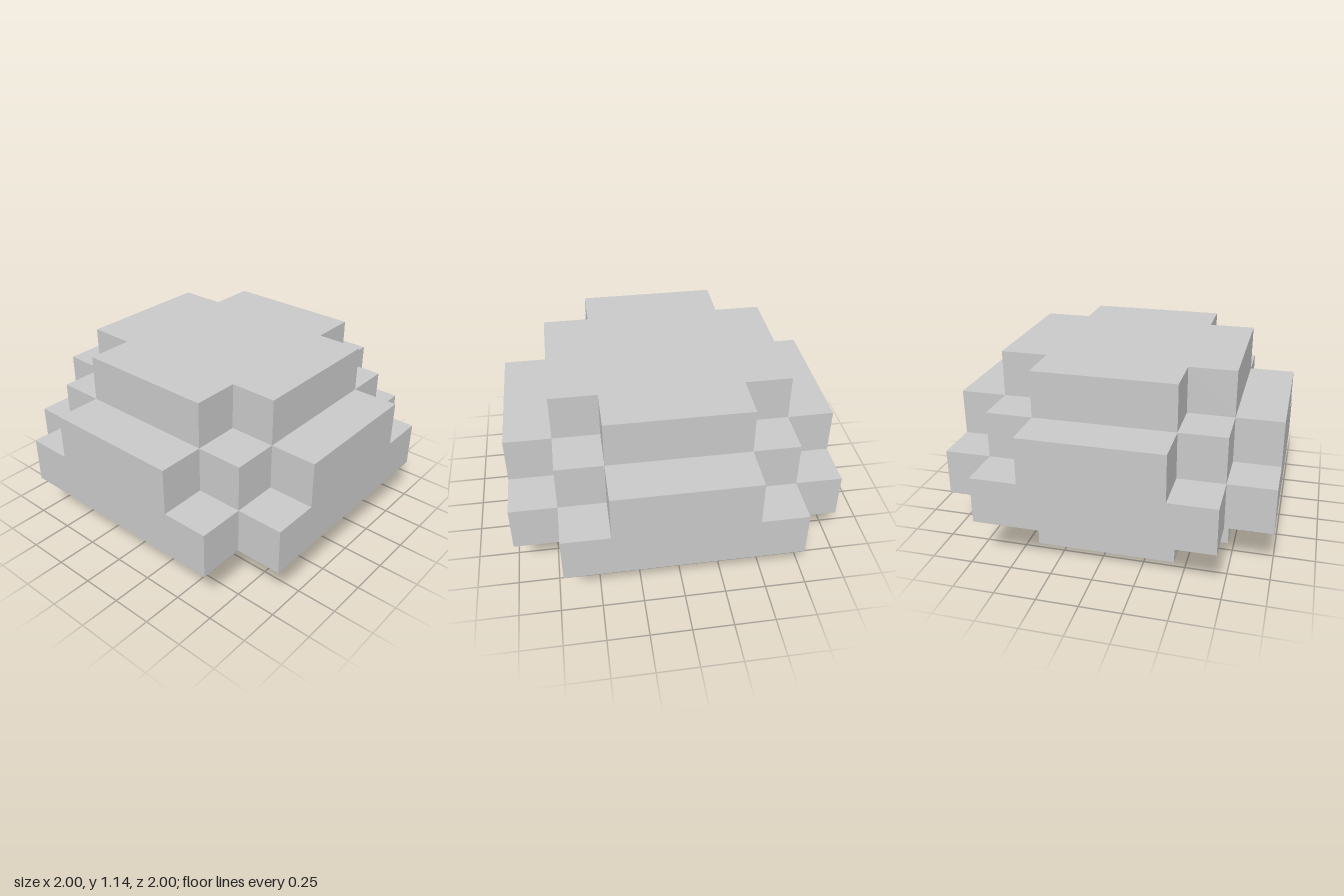
import * as THREE from 'three';

const U = 2 / 7; // edge of one block

// Symmetric stepped outline: corner steps (in blocks) of the +x +z quadrant,
// listed from the x axis towards the z axis, then turned four times.
function steppedOutline(corners) {
  const points = [];
  for (let q = 0; q < 4; q++) {
    const c = [1, 0, -1, 0][q], s = [0, 1, 0, -1][q];
    for (const [a, b] of corners) {
      points.push(new THREE.Vector2((a * c - b * s) * U, (a * s + b * c) * U));
    }
  }
  return new THREE.Shape(points);
}

export function createModel() {
  const group = new THREE.Group();
  group.name = 'steppedBoulder';
  const stone = new THREE.MeshStandardMaterial({ color: 0xc8c8c8 });
  stone.name = 'grey stone';

  const cross = [[2.5, 1.5], [1.5, 1.5], [1.5, 2.5]];
  const wide = [[3.5, 2.5], [2.5, 2.5], [2.5, 3.5]];
  const stepped = [[3.5, 1.5], [2.5, 1.5], [2.5, 2.5], [1.5, 2.5], [1.5, 3.5]];

  // One-block-high layers stacked from the ground up
  const layers = [
    ['baseLayer', cross],
    ['wideLayer', wide],
    ['shoulderLayer', stepped],
    ['topLayer', cross],
  ];
  layers.forEach(([name, corners], i) => {
    const geometry = new THREE.ExtrudeGeometry(steppedOutline(corners), { depth: U, bevelEnabled: false });
    geometry.rotateX(-Math.PI / 2);
    const mesh = new THREE.Mesh(geometry, stone);
    mesh.name = name;
    mesh.position.y = i * U;
    group.add(mesh);
  });
  return group;
}
